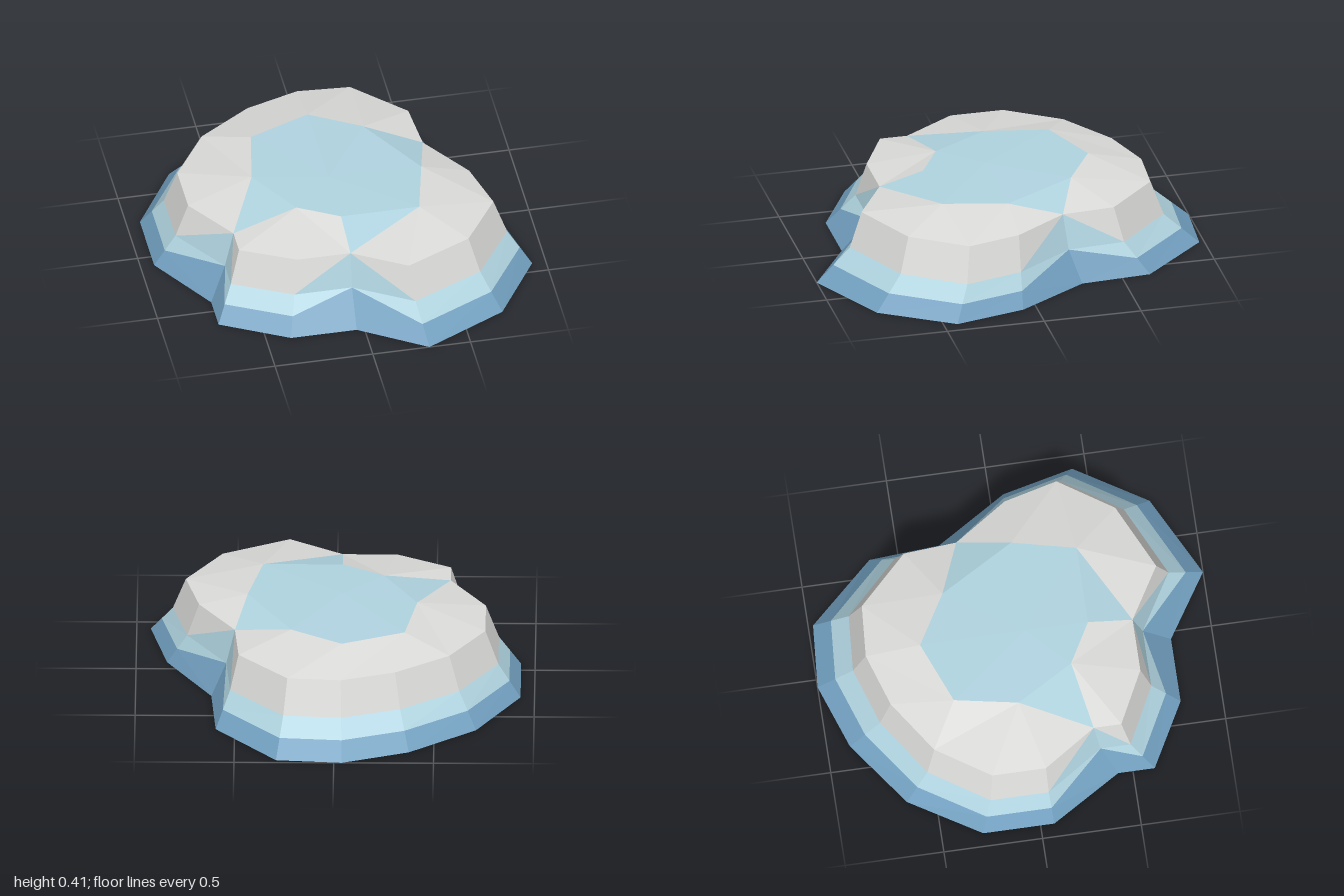
import * as THREE from 'three';

const makeMaterial = (name, color) => {
  const m = new THREE.MeshStandardMaterial({ color, side: THREE.DoubleSide, flatShading: true });
  m.name = name;
  return m;
};

// Base outline as x, z pairs, running from the back over the left side to the front
const outline = [
  [-0.04, -1], [0.29, -0.975], [0.595, -0.645], [0.62, -0.29],
  [0.845, 0.07], [0.93, 0.43], [0.705, 0.79], [0.29, 1],
  [-0.04, 0.79], [-0.375, 0.79], [-0.71, 0.61], [-0.71, 0.425],
  [-0.93, 0.07], [-0.93, -0.29], [-0.71, -0.645], [-0.375, -0.885],
];
const N = outline.length;
const notches = [3, 8, 11]; // inward corners, where the colour bands climb higher

const ring = (sx, sz, y) => outline.map(([x, z]) => new THREE.Vector3(x * sx, y, z * sz));

// Collect flat-shaded triangles, dropping empty ones
function meshFrom(name, material, tris) {
  const pts = tris.filter(([a, b, c]) => new THREE.Triangle(a, b, c).getArea() > 1e-7).flat();
  const g = new THREE.BufferGeometry().setFromPoints(pts);
  g.computeVertexNormals();
  const mesh = new THREE.Mesh(g, material);
  mesh.name = name;
  return mesh;
}

// Closed band between two rings; the diagonal folds along the notch
function band(low, up) {
  const tris = [];
  for (let i = 0; i < N; i++) {
    const j = (i + 1) % N;
    const [a, b, c, d] = [low[j], low[i], up[i], up[j]];
    if (notches.includes(i)) tris.push([a, b, d], [b, c, d]);
    else tris.push([a, b, c], [a, c, d]);
  }
  return tris;
}

export function createModel() {
  const snow = makeMaterial('snow grey', 0xdadad8);
  const paleIce = makeMaterial('pale ice blue', 0xafd3df);
  const deepIce = makeMaterial('deep ice blue', 0x719fbf);

  const base = ring(1, 1, 0);
  const mid = ring(0.88, 0.82, 0.16);
  const rim = ring(0.81, 0.755, 0.338);
  const half = base.map((p, i) => p.clone().lerp(mid[i], 0.5));

  // Tops of the two blue bands
  const deepTop = half.map((p, i) => (notches.includes(i) ? mid[i] : p));
  const paleTop = mid.map((p, i) => (notches.includes(i) ? rim[i] : p));

  // Plateau corners and its slightly raised centre
  const P = [
    [-0.035, -0.48], [0.22, -0.33], [0.44, 0.05], [0.365, 0.37],
    [-0.035, 0.37], [-0.24, 0.255], [-0.41, -0.035], [-0.35, -0.355],
  ].map(([x, z]) => new THREE.Vector3(x, 0.4, z));
  const centre = new THREE.Vector3(-0.035, 0.408, 0.05);

  // Pale patch: a fan plus three points reaching the notches
  const patch = P.map((p, i) => [centre, P[(i + 1) % P.length], p]);
  [[1, 3, 2], [3, 8, 4], [5, 11, 6]].forEach(([a, tip, b]) => patch.push([P[a], P[b], rim[tip]]));

  // Snow shoulder from the rim to the patch; -1 means the rim itself
  const inner = [0, 1, 1, -1, 2, 3, 3, 3, -1, 5, 5, -1, 6, 6, 7, 7]
    .map((k, i) => (k < 0 ? rim[i] : P[k]));
  const shoulder = band(rim, inner);
  shoulder.push([rim[8], P[4], P[5]]);

  const group = new THREE.Group();
  group.name = 'iceMound';
  group.add(
    meshFrom('lowerBand', deepIce, band(base, deepTop)),
    meshFrom('middleBand', paleIce, band(deepTop, paleTop)),
    meshFrom('upperWall', snow, band(paleTop, rim)),
    meshFrom('topShoulder', snow, shoulder),
    meshFrom('topPatch', paleIce, patch),
  );
  return group;
}
